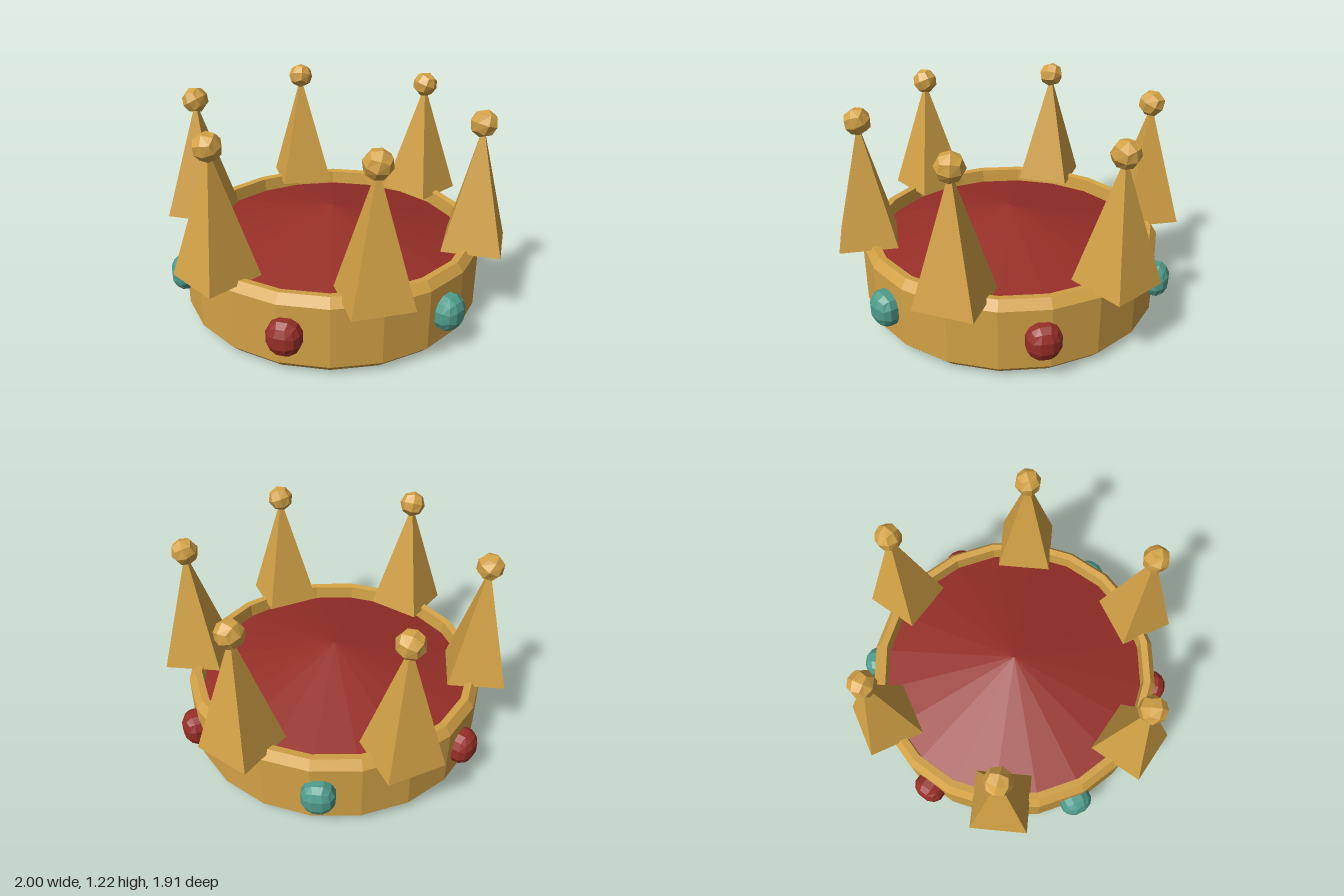
import * as THREE from 'three';

const flat = (g) => {
  const out = g.index ? g.toNonIndexed() : g;
  out.computeVertexNormals();
  return out;
};

// Faceted ball: a subdivided cube pushed out to an ellipsoid
function facetedBall(rx, ry, rz, segments) {
  const g = new THREE.BoxGeometry(2, 2, 2, segments, segments, segments);
  const p = g.attributes.position;
  const v = new THREE.Vector3();
  for (let i = 0; i < p.count; i++) {
    v.fromBufferAttribute(p, i).normalize();
    p.setXYZ(i, v.x * rx, v.y * ry, v.z * rz);
  }
  return flat(g);
}

export function createModel() {
  const crown = new THREE.Group();
  crown.name = 'crown';

  const material = (name, color) => {
    const m = new THREE.MeshStandardMaterial({ color, flatShading: true });
    m.name = name;
    return m;
  };
  const gold = material('gold', 0xd3a246);
  const red = material('red', 0x962e27);
  const teal = material('teal', 0x4f9c8c);

  const add = (parent, name, geometry, mat) => {
    const mesh = new THREE.Mesh(geometry, mat);
    mesh.name = name;
    parent.add(mesh);
    return mesh;
  };

  // Band with bevelled edges and a closed underside
  const profile = [
    [0, 0.006], [0.82, 0.006], [0.872, 0.06], [0.872, 0.41],
    [0.835, 0.46], [0.795, 0.455], [0.785, 0.34],
  ].map(([x, y]) => new THREE.Vector2(x, y));
  const band = add(crown, 'band', flat(new THREE.LatheGeometry(profile, 20)), gold);
  band.rotation.y = Math.PI / 20;

  // Fabric cap: a shallow cone inside the band
  const cap = add(crown, 'cap', flat(new THREE.ConeGeometry(0.8, 0.2, 20, 1, true)), red);
  cap.position.y = 0.47;
  cap.rotation.y = Math.PI / 20;

  // Fabric showing under the back of the band
  const patch = new THREE.Shape();
  patch.absarc(0, 0, 0.775, Math.PI * 0.25, Math.PI * 0.75, false);
  const lining = add(crown, 'lining', new THREE.ShapeGeometry(patch, 5), red);
  lining.rotation.x = Math.PI / 2;
  lining.scale.y = -1;
  lining.position.y = 0.001;
  lining.material = red.clone();
  lining.material.side = THREE.DoubleSide;

  // Six square spikes with a ball on each tip
  const spikeGeometry = flat(new THREE.ConeGeometry(0.163 * Math.SQRT2, 0.7, 4).rotateY(Math.PI / 4));
  const ballGeometry = facetedBall(0.077, 0.077, 0.077, 2);
  for (let i = 0; i < 6; i++) {
    const point = new THREE.Group();
    point.name = 'point' + (i + 1);
    point.rotation.y = Math.PI / 2 + (i * Math.PI) / 3;
    add(point, 'spike', spikeGeometry, gold).position.set(0, 0.785, 0.835);
    const ball = add(point, 'tipBall', ballGeometry, gold);
    ball.position.set(0, 1.143, 0.835);
    ball.rotation.set(0.3, i * 0.7, 0.2);
    crown.add(point);
  }

  // Six gems, alternating in colour, between the spikes
  const gemGeometry = facetedBall(0.1, 0.11, 0.085, 3);
  for (let i = 0; i < 6; i++) {
    const mount = new THREE.Group();
    mount.name = 'gemMount' + (i + 1);
    mount.rotation.y = (i * Math.PI) / 3;
    add(mount, 'gem', gemGeometry, i % 2 ? red : teal).position.set(0, 0.238, 0.88);
    crown.add(mount);
  }

  return crown;
}
